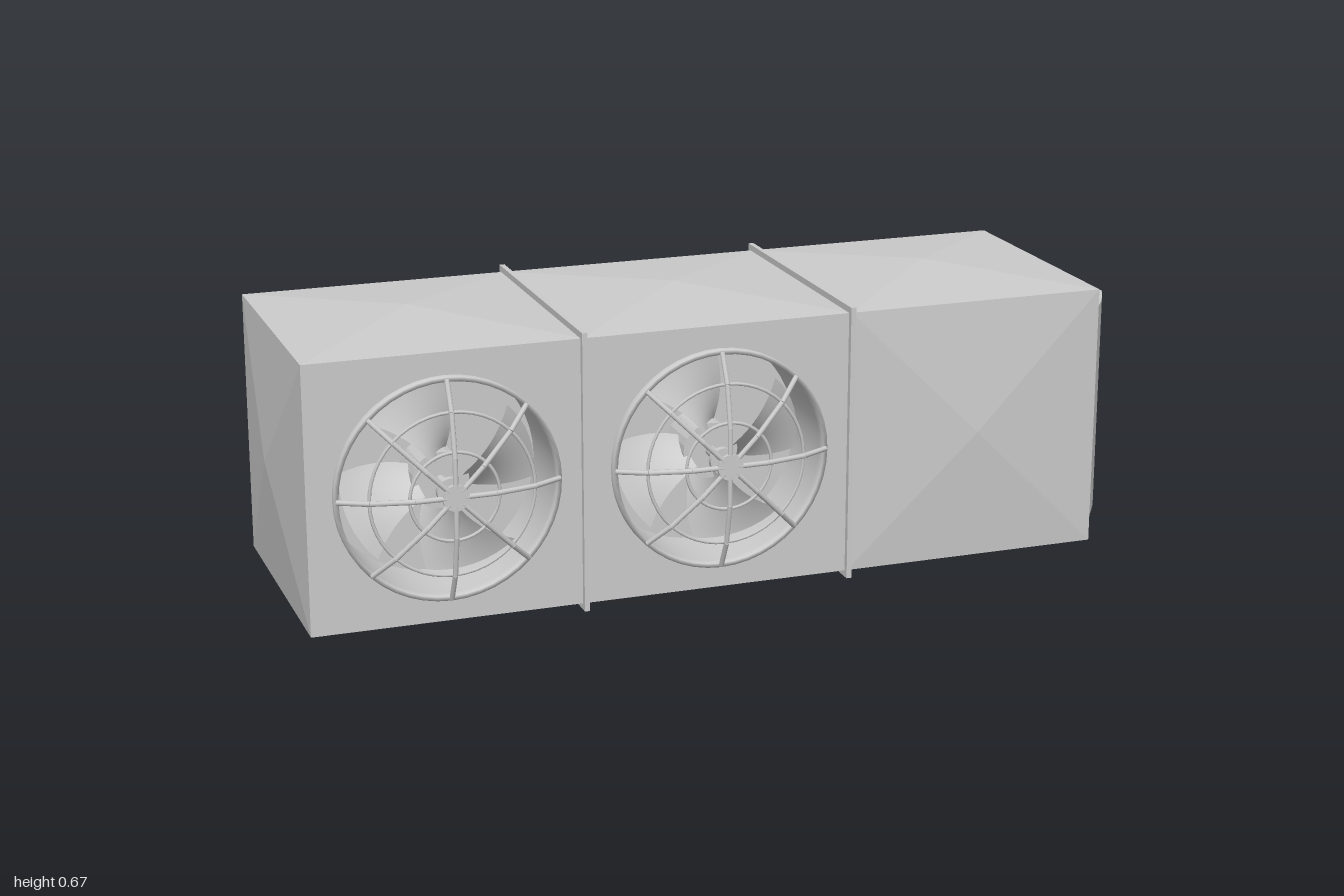
import * as THREE from 'three';

const grey = new THREE.MeshStandardMaterial({ color: 0xcccccc, flatShading: true });
const sheet = new THREE.MeshStandardMaterial({ color: 0xcccccc, side: THREE.DoubleSide });
const smooth = new THREE.MeshStandardMaterial({ color: 0xcccccc });

const Y0 = 0.03, Y1 = 0.645, Z0 = -0.255, Z1 = 0.365, CY = 0.338, CZ = 0.055;
const BAYS = [-0.975, -0.35, 0.283, 0.905];
const FAN_R = 0.255;

function add(parent, name, geometry, material = grey) {
  const mesh = new THREE.Mesh(geometry, material);
  mesh.name = name;
  parent.add(mesh);
  return mesh;
}

function box(parent, name, x0, x1, y0, y1, z0, z1) {
  add(parent, name, new THREE.BoxGeometry(x1 - x0, y1 - y0, z1 - z0))
    .position.set((x0 + x1) / 2, (y0 + y1) / 2, (z0 + z1) / 2);
}

// Four-cornered panel creased to a central apex (corners counter-clockwise from outside)
function panel(parent, name, corners, apex) {
  const pos = [];
  corners.forEach((c, i) => pos.push(...c, ...corners[(i + 1) % 4], ...apex));
  const g = new THREE.BufferGeometry();
  g.setAttribute('position', new THREE.Float32BufferAttribute(pos, 3));
  g.computeVertexNormals();
  add(parent, name, g);
}

// Straight round bar between two points
function bar(parent, name, a, b, r) {
  const d = b.clone().sub(a);
  const m = add(parent, name, new THREE.CylinderGeometry(r, r, d.length(), 8), smooth);
  m.position.copy(a).add(b).multiplyScalar(0.5);
  m.quaternion.setFromUnitVectors(new THREE.Vector3(0, 1, 0), d.normalize());
}

// Lathe profile of [radius, z] points turned about the z axis
function turned(profile, segments = 48) {
  return new THREE.LatheGeometry(profile.map(([r, z]) => new THREE.Vector2(r, z)), segments).rotateX(Math.PI / 2);
}

function createCasing() {
  const g = new THREE.Group();
  g.name = 'casing';
  for (let i = 0; i < 3; i++) {
    const a = BAYS[i], b = BAYS[i + 1], c = (a + b) / 2;
    panel(g, 'topPanel', [[a, Y1, Z1], [b, Y1, Z1], [b, Y1, Z0], [a, Y1, Z0]], [c, 0.672, CZ]);
    panel(g, 'bottomPanel', [[a, Y0, Z0], [b, Y0, Z0], [b, Y0, Z1], [a, Y0, Z1]], [c, 0.002, CZ]);
    panel(g, 'backPanel', [[b, Y0, Z0], [a, Y0, Z0], [a, Y1, Z0], [b, Y1, Z0]], [c, CY, Z0]);
    if (i === 2) {
      panel(g, 'frontPanel', [[a, Y0, Z1], [b, Y0, Z1], [b, Y1, Z1], [a, Y1, Z1]], [c, CY, 0.388]);
    } else {
      // Flat front with a round fan opening
      const s = new THREE.Shape([[a, Y0], [b, Y0], [b, Y1], [a, Y1]].map(p => new THREE.Vector2(...p)));
      s.holes.push(new THREE.Path().absarc(c, CY, 0.245, 0, Math.PI * 2, true));
      add(g, 'fanFrontPanel', new THREE.ShapeGeometry(s, 48).translate(0, 0, Z1));
    }
  }
  const l = BAYS[0], r = BAYS[3];
  panel(g, 'rightEndPanel', [[l, Y0, Z0], [l, Y0, Z1], [l, Y1, Z1], [l, Y1, Z0]], [-1, CY, CZ]);
  panel(g, 'leftEndPanel', [[r, Y0, Z1], [r, Y0, Z0], [r, Y1, Z0], [r, Y1, Z1]], [r, CY, CZ]);

  // Joint bands wrapping the casing between bays
  for (const x of [BAYS[1], BAYS[2]]) {
    const a = x - 0.006, b = x + 0.006;
    box(g, 'jointBandTop', a, b, Y1 - 0.005, 0.66, -0.267, 0.378);
    box(g, 'jointBandBottom', a, b, 0.015, Y0 + 0.005, -0.267, 0.378);
    box(g, 'jointBandFront', a, b, Y0, Y1, Z1 - 0.005, 0.378);
    box(g, 'jointBandBack', a, b, Y0, Y1, -0.267, Z0 + 0.005);
  }
  return g;
}

// Fan with recess, twisted blades, motor and domed guard, centred on its axis
function createFan() {
  const g = new THREE.Group();
  g.name = 'fan';
  add(g, 'recessWall', turned([[0.245, Z1], [0.245, 0.2]]), sheet);
  add(g, 'recessBack', new THREE.CircleGeometry(0.245, 48).translate(0, 0, 0.2));
  add(g, 'guardRim', turned([[0.245, 0.36], [0.245, 0.384], [FAN_R, 0.384], [FAN_R, 0.36]]), sheet);

  const hub = (name, r, z0, z1) => add(g, name,
    new THREE.CylinderGeometry(r, r, z1 - z0, 24).rotateX(Math.PI / 2).translate(0, 0, (z0 + z1) / 2), grey);
  hub('motor', 0.065, 0.2, 0.31);
  hub('shaft', 0.012, 0.3, 0.435);
  hub('shaftCollar', 0.03, 0.38, 0.395);
  hub('guardHub', 0.03, 0.434, 0.443);

  // Blades
  for (let k = 0; k < 4; k++) {
    const blade = new THREE.PlaneGeometry(1, 1, 8, 8);
    const p = blade.attributes.position;
    for (let i = 0; i < p.count; i++) {
      const u = p.getX(i) + 0.5, v = p.getY(i);
      const r = 0.05 + 0.17 * u;
      const t = k * Math.PI / 2 + v * 0.95 + 0.35 * u;
      p.setXYZ(i, r * Math.cos(t), r * Math.sin(t), 0.3 + v * 0.09 * (1 - 0.4 * u));
    }
    blade.computeVertexNormals();
    add(g, 'fanBlade', blade, sheet);
  }

  // Guard rings and bent spokes
  for (const [r, z] of [[0.185, 0.413], [0.1, 0.43]]) {
    add(g, 'guardRing', new THREE.TorusGeometry(r, 0.004, 6, 48).translate(0, 0, z), smooth);
  }
  const bend = [[0.25, 0.384], [0.185, 0.417], [0.09, 0.437], [0.02, 0.438]];
  for (let k = 0; k < 8; k++) {
    const t = k * Math.PI / 4;
    const pts = bend.map(([r, z]) => new THREE.Vector3(r * Math.cos(t), r * Math.sin(t), z));
    for (let i = 0; i < 3; i++) bar(g, 'guardSpoke', pts[i], pts[i + 1], 0.006);
  }
  return g;
}

// Open duct collar on the back
function createDuct() {
  const g = new THREE.Group();
  g.name = 'backDuct';
  const x0 = -0.908, x1 = 0.84, y0 = 0.08, y1 = 0.595, z0 = -0.442, t = 0.003;
  box(g, 'ductTop', x0, x1, y1 - t, y1, z0, Z0);
  box(g, 'ductBottom', x0, x1, y0, y0 + t, z0, Z0);
  box(g, 'ductSide', x0, x0 + t, y0, y1, z0, Z0);
  box(g, 'ductSide', x1 - t, x1, y0, y1, z0, Z0);
  return g;
}

// Curved vent hood, open towards the back; lip is the z of its outer edge
function createHood(lip, depth, height) {
  const g = new THREE.Group();
  g.name = 'ventHood';
  const wall = 0.904, out = 0.997, y0 = 0.08, t = 0.006;
  const extrude = (s, h, y) => new THREE.ExtrudeGeometry(s, { depth: h, bevelEnabled: false, curveSegments: 10 })
    .rotateX(-Math.PI / 2).translate(0, y, 0);
  const cover = new THREE.Shape();
  cover.moveTo(wall, -lip - depth);
  cover.lineTo(wall + 0.018, -lip - depth);
  cover.quadraticCurveTo(0.972, -lip - 0.06, out, -lip);
  cover.lineTo(out - 0.009, -lip);
  cover.quadraticCurveTo(0.958, -lip - 0.06, wall + 0.01, -lip - depth + 0.008);
  cover.lineTo(wall, -lip - depth + 0.008);
  add(g, 'hoodCover', extrude(cover, height, y0));

  const end = new THREE.Shape();
  end.moveTo(wall, -lip - depth);
  end.lineTo(wall + 0.018, -lip - depth);
  end.quadraticCurveTo(0.972, -lip - 0.06, out, -lip);
  end.lineTo(0.945, -lip + 0.027);
  end.lineTo(wall, -lip + 0.027);
  for (const y of [y0, y0 + height - t]) add(g, 'hoodEndPlate', extrude(end, t, y));
  return g;
}

export function createModel() {
  const model = new THREE.Group();
  model.name = 'ventilationUnit';
  model.add(createCasing(), createDuct());
  for (let i = 0; i < 2; i++) {
    const fan = createFan();
    fan.position.set((BAYS[i] + BAYS[i + 1]) / 2, CY, 0);
    model.add(fan);
  }
  model.add(createHood(0.203, 0.13, 0.515), createHood(-0.003, 0.13, 0.308));
  return model;
}
